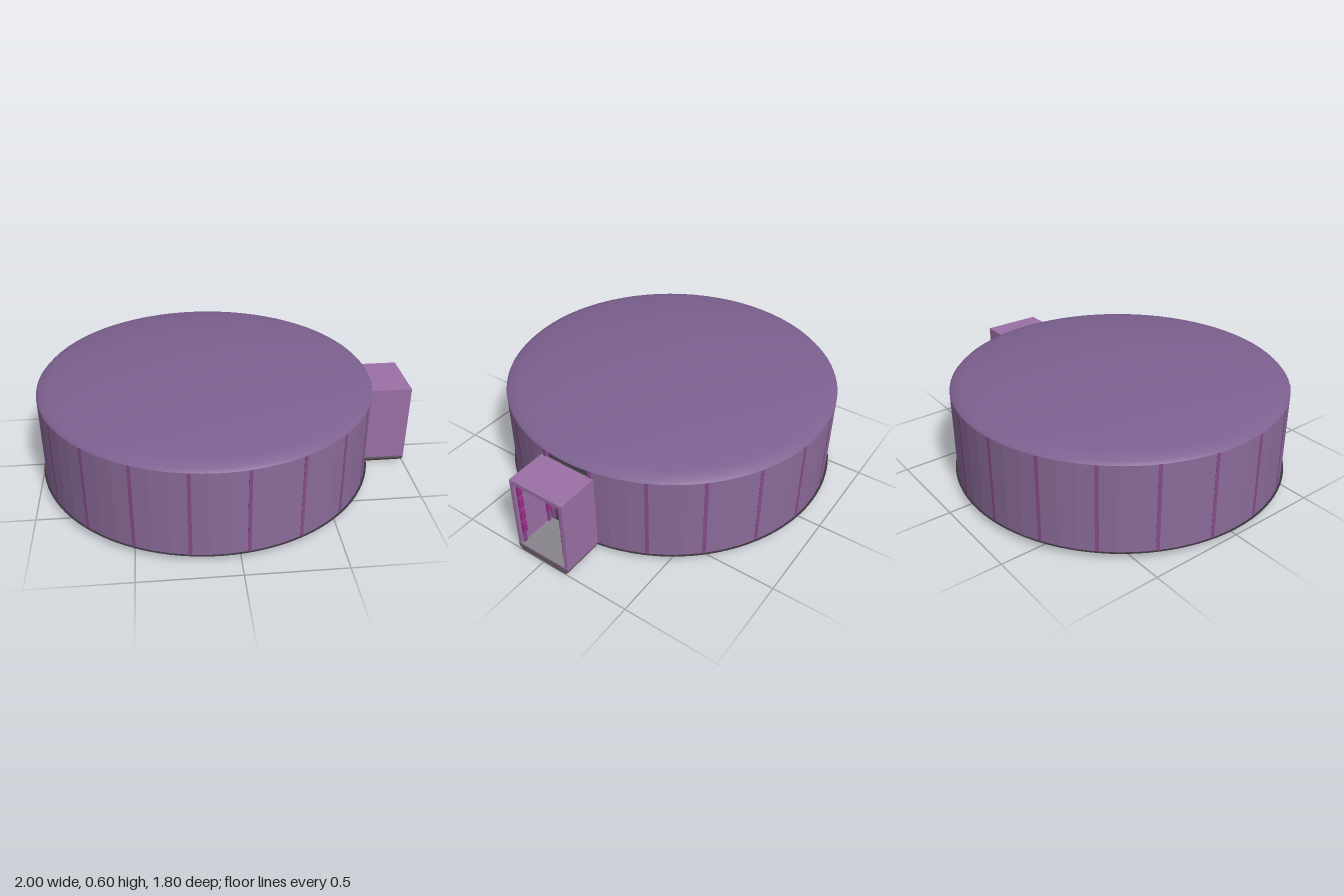
import * as THREE from 'three';

const CX = -0.1, FLOOR = 0.036, RIM = 0.5, R = 0.889;
const mat = (color, flatShading = false) =>
  new THREE.MeshStandardMaterial({ color, flatShading, side: THREE.DoubleSide });

const shell = mat(0x8a6a98, true), roofMat = mat(0x7d6190), porchMat = mat(0x9b70a5);
const ribMat = mat(0x844a88), trim = mat(0xa02c8c), dark = mat(0x3a343e);
const teal = mat(0x5f7178), grey = mat(0x6a6068), metal = mat(0x88848c, true), maroon = mat(0x6a2a50);

function add(parent, name, geometry, material, x = 0, y = 0, z = 0) {
  const m = new THREE.Mesh(geometry, material);
  m.name = name;
  m.position.set(x, y, z);
  parent.add(m);
  return m;
}

const polygon = pts => new THREE.Shape(pts.map(p => new THREE.Vector2(...p)));
const square = a => polygon([[-a, -a], [a, -a], [a, a], [-a, a]]);
const disc = r => new THREE.Shape().absarc(0, 0, r, 0, Math.PI * 2);

// Flat plate facing down, with an optional hole
function plate(outer, hole) {
  if (hole) outer.holes.push(hole);
  return new THREE.ShapeGeometry(outer, 48).rotateX(Math.PI / 2);
}

// Section drawn in (z, y), run along x from x0 to x1
function runAlongX(shape, x0, x1) {
  return new THREE.ExtrudeGeometry(shape, { depth: x1 - x0, bevelEnabled: false })
    .rotateY(Math.PI / 2).translate(x0, 0, 0);
}

export function createModel() {
  const model = new THREE.Group();
  model.name = 'roundRoom';
  const room = new THREE.Group();
  room.name = 'room';
  room.position.x = CX;
  model.add(room);

  // Curved wall, one panel of twenty left open for the doorway on +x
  const panel = Math.PI / 10;
  const wall = new THREE.CylinderGeometry(R, R, RIM - FLOOR, 57, 1, true,
    Math.PI / 2 + panel / 2, Math.PI * 2 - panel);
  add(room, 'wall', wall, shell, 0, (RIM + FLOOR) / 2);

  // Narrow ribs between wall panels
  for (let i = 0; i < 20; i++) {
    const a = (i + 0.5) * panel;
    const rib = add(room, 'wallRib', new THREE.BoxGeometry(0.02, RIM - FLOOR, 0.018), ribMat,
      Math.cos(a) * (R - 0.009), (RIM + FLOOR) / 2, -Math.sin(a) * (R - 0.009));
    rib.rotation.y = a;
  }

  // Shallow domed roof with a bevelled rim
  const profile = [[R, RIM], [0.875, 0.515], [0.825, 0.532], [0.7, 0.553], [0.55, 0.572],
    [0.38, 0.587], [0.2, 0.597], [0, 0.6]].map(p => new THREE.Vector2(...p));
  add(room, 'roof', new THREE.LatheGeometry(profile, 72), roofMat);
  add(room, 'ceiling', plate(disc(R)), roofMat, 0, RIM);

  // Floor rings and the square frame round the central well
  add(room, 'floorRing', plate(disc(0.9), disc(0.53)), dark, 0, FLOOR);
  add(room, 'floorCentre', plate(disc(0.53), square(0.2)), teal, 0, FLOOR);
  add(room, 'wellFrame', plate(square(0.24), square(0.167)), grey, 0, FLOOR - 0.002);
  add(room, 'wellTop', plate(square(0.2)), dark, 0, FLOOR + 0.018);

  // Tapered foot beneath the well
  add(room, 'foot', new THREE.CylinderGeometry(0.16, 0.13, 0.034, 32, 1, true), metal, 0, 0.021);
  add(room, 'footBase', new THREE.CylinderGeometry(0.13, 0.13, 0.004, 32), grey, 0, 0.002);

  // Central console with upright slats
  add(room, 'console', new THREE.CylinderGeometry(0.11, 0.11, 0.05, 12), metal, 0, 0.08);
  for (let i = 0; i < 12; i++) {
    const a = i * Math.PI / 6;
    add(room, 'consoleSlat', new THREE.BoxGeometry(0.008, 0.06, 0.008), grey,
      Math.cos(a) * 0.11, 0.08, Math.sin(a) * 0.11);
  }

  // Hanging ceiling dome with splayed rods
  add(room, 'ceilingDome', new THREE.SphereGeometry(0.08, 24, 12, 0, Math.PI * 2, Math.PI / 2, Math.PI / 2)
    .scale(1, 1.25, 1), maroon, 0, RIM - 0.001);
  for (let i = 0; i < 8; i++) {
    const a = i * Math.PI / 4;
    const at = (r, y) => new THREE.Vector3(Math.cos(a) * r, y, Math.sin(a) * r);
    const rod = new THREE.LineCurve3(at(0.065, 0.44), at(0.1, 0.34));
    add(room, 'ceilingRod', new THREE.TubeGeometry(rod, 1, 0.004, 5), ribMat);
  }

  // Entrance porch, open at both ends
  const porch = new THREE.Group();
  porch.name = 'porch';
  model.add(porch);
  const frame = polygon([[-0.16, FLOOR], [0.16, FLOOR], [0.16, 0.46], [-0.16, 0.46]]);
  frame.holes.push(polygon([[-0.14, 0.04], [0.14, 0.04], [0.14, 0.437], [-0.14, 0.437]]));
  add(porch, 'porchShell', runAlongX(frame, 0.775, 1), porchMat);
  const sill = polygon([[-0.14, 0], [0.14, 0], [0.16, 0.024], [0.16, FLOOR], [-0.16, FLOOR], [-0.16, 0.024]]);
  add(porch, 'porchBase', runAlongX(sill, 0.785, 1), grey);
  add(porch, 'porchFloor', new THREE.BoxGeometry(0.22, 0.004, 0.28), metal, 0.888, 0.042);

  // Trim strips and blocks inside the doorway
  for (const side of [-1, 1]) {
    for (const x of [0.8, 0.975]) {
      add(porch, 'doorStrip', new THREE.BoxGeometry(0.02, 0.39, 0.008), ribMat, x, 0.24, side * 0.136);
      for (let i = 0; i < 4; i++)
        add(porch, 'doorBlock', new THREE.BoxGeometry(0.024, 0.065, 0.016), trim,
          x, 0.15 + i * 0.08, side * 0.131);
    }
  }
  return model;
}
